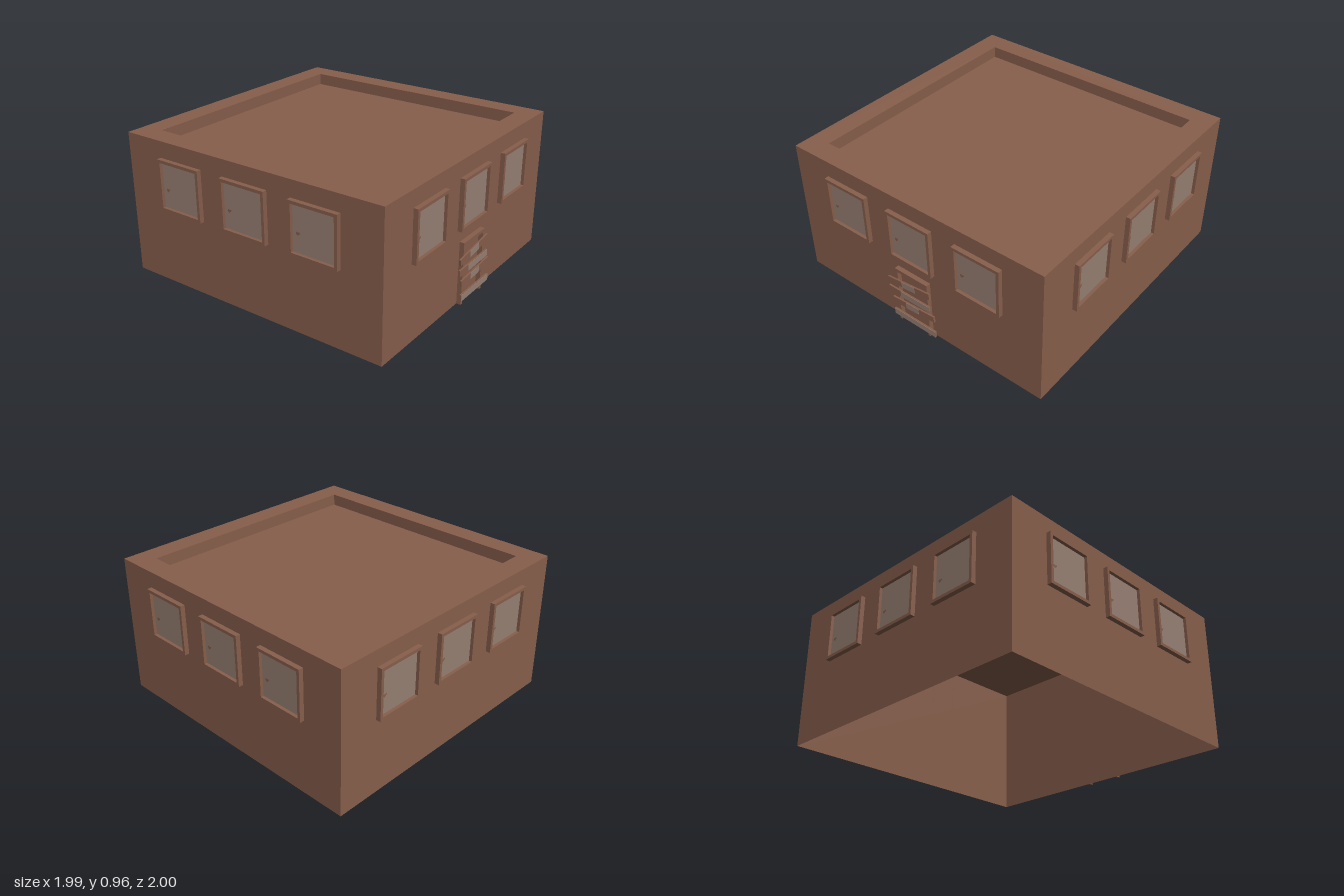
import * as THREE from 'three';

const HALF = 0.9615, WALL_TOP = 0.96, CENTER_Z = -0.0075;

export function createModel() {
  const brick = new THREE.MeshStandardMaterial({ color: 0x885f4c, side: THREE.DoubleSide });
  brick.name = 'brown wall';
  const pale = new THREE.MeshStandardMaterial({ color: 0x978073, side: THREE.DoubleSide });
  pale.name = 'dusty grey';

  const model = new THREE.Group();
  model.name = 'building';
  const add = (parent, name, geometry, material, x = 0, y = 0, z = 0) => {
    const mesh = new THREE.Mesh(geometry, material);
    mesh.name = name;
    mesh.position.set(x, y, z);
    parent.add(mesh);
    return mesh;
  };

  const outline = (Type, points) => new Type(points.map(([x, y]) => new THREE.Vector2(x, y)));
  const square = (h) => [[-h, -h], [h, -h], [h, h], [-h, h]];

  // Open-bottomed shell: four walls, parapet and sunken roof from one square profile
  const r = Math.SQRT2;
  const profile = [[HALF, 0], [HALF, WALL_TOP], [0.817, WALL_TOP], [0.817, 0.88], [0, 0.88]]
    .map(([half, y]) => new THREE.Vector2(half * r, y));
  const shell = new THREE.LatheGeometry(profile, 4, Math.PI / 4).toNonIndexed();
  shell.computeVertexNormals();
  add(model, 'wallsAndRoof', shell, brick, 0, 0, CENTER_Z);

  // Window: square frame around a recessed pane with a small broken hole
  const frameShape = outline(THREE.Shape, square(0.17));
  frameShape.holes.push(outline(THREE.Path, square(0.15)));
  const frameGeometry = new THREE.ExtrudeGeometry(frameShape, { depth: 0.031, bevelEnabled: false });
  const paneShape = outline(THREE.Shape, square(0.15));
  paneShape.holes.push(outline(THREE.Path,
    [[-0.128, -0.032], [-0.117, -0.044], [-0.1, -0.03], [-0.098, -0.02], [-0.112, -0.022], [-0.126, -0.02]]));
  const paneGeometry = new THREE.ShapeGeometry(paneShape);

  // Three windows on each of the four sides
  ['front', 'left', 'back', 'right'].forEach((side, i) => {
    const row = new THREE.Group();
    row.name = side + 'Windows';
    row.position.z = CENTER_Z;
    row.rotation.y = i * Math.PI / 2;
    for (const x of [-0.513, 0, 0.513]) {
      add(row, 'windowFrame', frameGeometry, brick, x, 0.68, HALF);
      add(row, 'windowPane', paneGeometry, pale, x, 0.68, HALF + 0.01);
    }
    model.add(row);
  });

  // Door frame, open at the ground
  const doorShape = outline(THREE.Shape, [[-0.133, 0], [-0.115, 0], [-0.115, 0.403], [0.11, 0.403],
    [0.11, 0], [0.128, 0], [0.128, 0.425], [-0.133, 0.425]]);
  const doorGeometry = new THREE.ExtrudeGeometry(doorShape, { depth: 0.031, bevelEnabled: false });
  add(model, 'doorFrame', doorGeometry, brick, 0, 0, HALF + CENTER_Z);

  // Boards nailed over the door: centre, tilt, and the worn pale stretch along each
  const boards = [
    [-0.017, 0.338, 0.13, -0.055, 0.052],
    [-0.017, 0.246, 0.02, -0.07, 0.172],
    [0.01, 0.173, 0.075, -0.06, 0.045],
    [0.015, 0.061, 0, -0.172, 0.172],
  ];
  for (const [x, y, tilt, from, to] of boards) {
    const board = new THREE.Group();
    board.name = 'doorBoard';
    board.position.set(x, y, 0.992);
    board.rotation.z = tilt;
    add(board, 'plank', new THREE.BoxGeometry(0.344, 0.043, 0.012), brick);
    add(board, 'wornPatch', new THREE.BoxGeometry(to - from, 0.043, 0.002), pale, (from + to) / 2, 0, 0.007);
    model.add(board);
  }

  return model;
}
